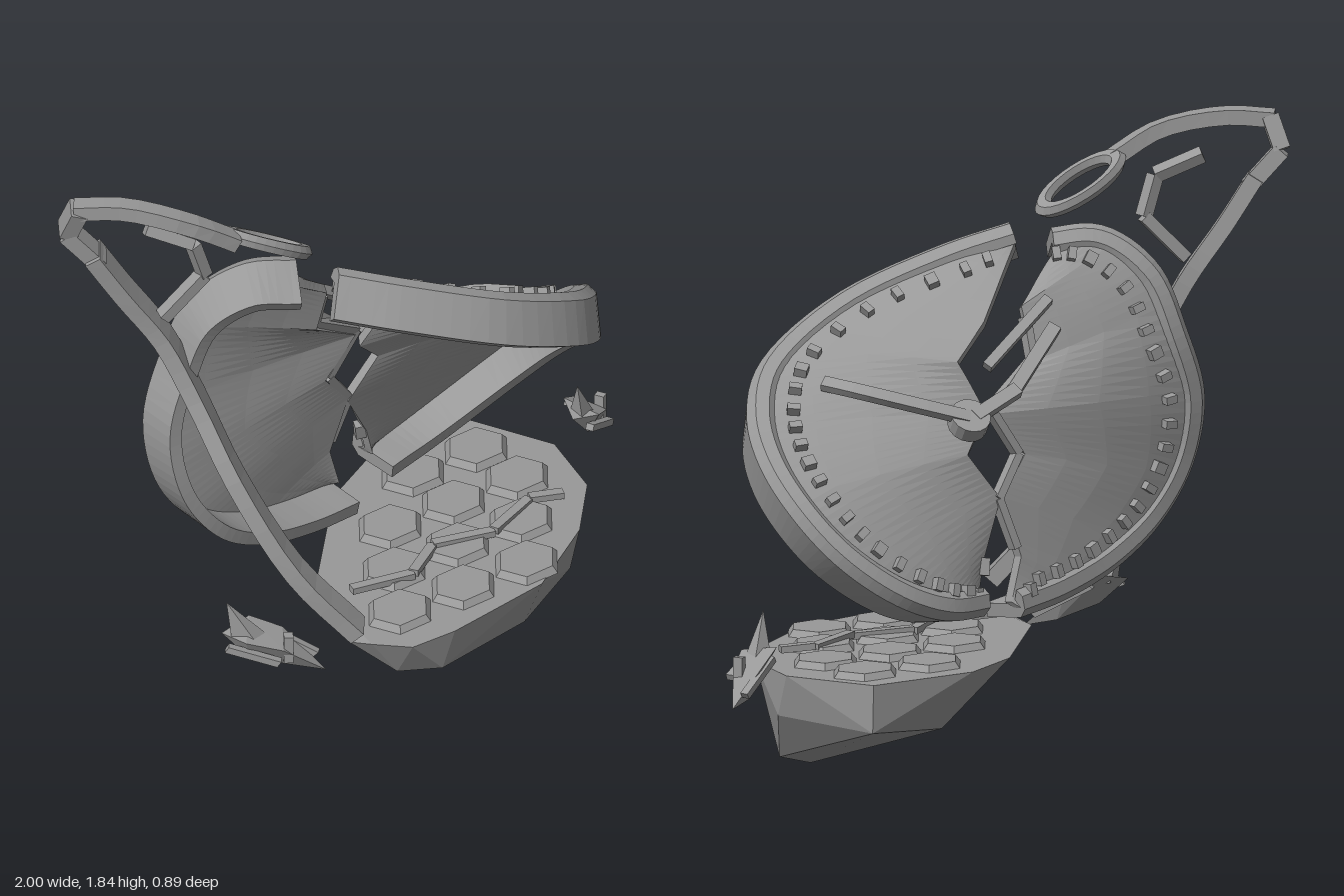
import * as THREE from 'three';
import { ConvexGeometry } from 'three/addons/geometries/ConvexGeometry.js';

const V = (p) => new THREE.Vector3(...p);

// Capped solid through equal-sized closed cross-sections
function loft(rings) {
  const m = rings[0].length, pos = [];
  const tri = (...pts) => pts.forEach((p) => pos.push(p.x, p.y, p.z));
  for (let i = 0; i < rings.length - 1; i++) {
    const A = rings[i], B = rings[i + 1];
    for (let j = 0; j < m; j++) {
      const k = (j + 1) % m;
      tri(A[j], B[j], B[k]);
      tri(A[j], B[k], A[k]);
    }
  }
  const cap = (r, sign) => {
    const n = r.reduce((s, p, i) => s.add(p.clone().cross(r[(i + 1) % m])), new THREE.Vector3());
    const ax = ['x', 'y', 'z'].sort((p, q) => Math.abs(n[q]) - Math.abs(n[p]));
    const flat = r.map((p) => new THREE.Vector2(p[ax[1]], p[ax[2]]));
    for (const [i, j, k] of THREE.ShapeUtils.triangulateShape(flat, [])) {
      const side = r[j].clone().sub(r[i]).cross(r[k].clone().sub(r[i])).dot(n) * sign;
      if (side > 0) tri(r[i], r[j], r[k]); else tri(r[i], r[k], r[j]);
    }
  };
  cap(rings[0], 1);
  cap(rings[rings.length - 1], -1);
  // Turn the solid outward if its signed volume is negative
  let vol = 0;
  for (let i = 0; i < pos.length; i += 9) {
    vol += V(pos.slice(i, i + 3)).dot(V(pos.slice(i + 3, i + 6)).cross(V(pos.slice(i + 6, i + 9))));
  }
  if (vol < 0) {
    for (let i = 0; i < pos.length; i += 9) {
      for (let c = 3; c < 6; c++) [pos[i + c], pos[i + c + 3]] = [pos[i + c + 3], pos[i + c]];
    }
  }
  const g = new THREE.BufferGeometry();
  g.setAttribute('position', new THREE.Float32BufferAttribute(pos, 3));
  g.computeVertexNormals();
  return g;
}

// Rectangular strip swept along a curve, its broad side turned to `facing`
function strip(curve, n, w, h, facing) {
  const rings = [];
  for (let i = 0; i <= n; i++) {
    const p = curve.getPoint(i / n), t = curve.getTangent(i / n);
    const s = t.clone().cross(facing).normalize(), f = s.clone().cross(t).normalize();
    rings.push([[-w, -h], [w, -h], [w, h], [-w, h]].map(([a, b]) =>
      p.clone().addScaledVector(s, a / 2).addScaledVector(f, b / 2)));
  }
  return loft(rings);
}
const smooth = (pts) => new THREE.CatmullRomCurve3(pts.map(V));

export function createModel() {
  const model = new THREE.Group();
  const grey = new THREE.MeshStandardMaterial({ color: 0x999999, side: THREE.DoubleSide, flatShading: true });
  grey.name = 'stone grey';
  const add = (name, geo, parent = model) => {
    const mesh = new THREE.Mesh(geo, grey);
    mesh.name = name;
    parent.add(mesh);
    return mesh;
  };
  // Straight bar from a to b
  const bar = (name, a, b, w, h, facing, parent) =>
    add(name, strip(new THREE.LineCurve3(V(a), V(b)), 1, w, h, facing), parent);

  // Bent clock halves: a dial ruled from the jagged break to the raised end of the rim
  function clockHalf(name, rimPts, breakPts, hub, flip, low, high, ticks) {
    const half = new THREE.Group();
    half.name = name;
    model.add(half);
    const rim = smooth(rimPts), jag = breakPts.map(V), segs = jag.length - 1;
    const frame = (t) => {
      const p = rim.getPoint(t), tan = rim.getTangent(t);
      const n = tan.clone().cross(V(hub).sub(p)).normalize().multiplyScalar(flip);
      const out = n.clone().cross(tan).normalize();
      if (out.dot(V(hub).sub(p)) > 0) out.negate();
      const i = Math.min(Math.floor(t * segs + 1e-6), segs - 1);
      const c = jag[i].clone().lerp(jag[i + 1], t * segs - i);
      const at = (u, off) => c.clone().lerp(p, u)
        .addScaledVector(n, off + 0.45 * high * u + 0.015 * Math.sin(Math.PI * u) * Math.sin(Math.PI * t));
      return { p, tan, n, out, at };
    };
    const N = segs * 8, dial = [], band = [];
    const us = [0, 0.25, 0.5, 0.75, 1];
    const section = [[0.03, -low], [0.03, 0.7 * high], [0.005, high], [-0.035, high],
      [-0.055, 0.75 * high], [-0.012, 0.5 * high], [-0.012, -low]];
    for (let i = 0; i <= N; i++) {
      const f = frame(i / N);
      dial.push([...us.map((u) => f.at(u, 0.03)), ...us.slice().reverse().map((u) => f.at(u, 0))]);
      band.push(section.map(([o, k]) => f.p.clone().addScaledVector(f.out, o).addScaledVector(f.n, k)));
    }
    add('dial', loft(dial), half);
    add('rim', loft(band), half);
    // Minute marks
    for (let i = 0; i < ticks; i++) {
      const f = frame(0.06 + 0.88 * i / (ticks - 1));
      const big = i % 5 === 2 ? 1.4 : 1;
      const mark = add('minuteMark', new THREE.BoxGeometry(0.024 * big, 0.038, 0.034), half);
      const inward = f.out.clone().negate();
      mark.quaternion.setFromRotationMatrix(
        new THREE.Matrix4().makeBasis(f.tan, inward, f.tan.clone().cross(inward)));
      const c = f.at(1, 0), d = f.at(0, 0).sub(c);
      mark.position.copy(f.at(1 - Math.min(0.11 / d.length(), 0.6), 0.04));
    }
  }
  clockHalf('leftClockHalf',
    [[-0.29, 1.45, 0.16], [-0.1, 1.385, 0.25], [0.2, 1.265, 0.325], [0.5, 1.115, 0.26], [0.65, 1.0, 0.11], [0.7, 0.89, -0.03],
      [0.68, 0.77, -0.16], [0.6, 0.655, -0.245], [0.45, 0.545, -0.295], [0.3, 0.49, -0.295], [0.14, 0.48, -0.255]],
    [[-0.27, 1.44, 0.12], [-0.07, 1.25, -0.02], [0.06, 1.15, -0.07], [0, 1.0, -0.13], [0.1, 0.9, -0.18],
      [0, 0.77, -0.19], [0.1, 0.6, -0.24], [0.13, 0.5, -0.25]],
    [0.05, 1, -0.15], 1, 0.07, 0.09, 24);
  clockHalf('rightClockHalf',
    [[-0.34, 1.46, 0.045], [-0.47, 1.465, -0.015], [-0.58, 1.37, -0.09], [-0.64, 1.2, -0.13], [-0.705, 1.0, -0.125],
      [-0.68, 0.8, -0.1], [-0.57, 0.64, -0.095], [-0.4, 0.535, -0.125], [-0.2, 0.475, -0.17], [-0.02, 0.45, -0.21]],
    [[-0.35, 1.44, 0.03], [-0.17, 1.3, -0.05], [-0.18, 1.15, -0.09], [0, 1.03, -0.15], [-0.1, 0.9, -0.16],
      [0, 0.78, -0.19], [-0.05, 0.6, -0.21], [-0.01, 0.47, -0.22]],
    [-0.05, 1, -0.13], -1, 0.085, 0.08, 22);

  // Centre cap and hands
  const up = new THREE.Vector3(0.15, 0.75, -0.65).normalize();
  const cap = add('centreCap', new THREE.CylinderGeometry(0.06, 0.06, 0.05, 16));
  cap.quaternion.setFromUnitVectors(new THREE.Vector3(0, 1, 0), up);
  cap.position.set(0.095, 1.02, -0.19);
  add('longHand', strip(smooth([[0.1, 1.03, -0.2], [0.25, 1.075, -0.13], [0.37, 1.11, -0.05], [0.45, 1.13, 0.05]]),
    8, 0.04, 0.025, up));
  bar('shortHand', [0.08, 1.03, -0.2], [-0.08, 1.09, -0.18], 0.04, 0.03, up);
  bar('brokenHand', [-0.07, 1.08, -0.17], [-0.25, 1.25, -0.12], 0.04, 0.03, up);
  bar('brokenHand', [0, 1.16, -0.14], [-0.24, 1.33, -0.1], 0.03, 0.03, up);
  bar('brokenHand', [0.09, 0.62, -0.26], [0.1, 0.57, -0.27], 0.035, 0.03, up);
  // Raised edge along the break
  const edge = [[-0.17, 1.28, -0.08], [-0.17, 1.16, -0.12], [0.01, 1.04, -0.17], [-0.08, 0.9, -0.18], [0.01, 0.78, -0.21], [-0.04, 0.63, -0.23]];
  for (let i = 0; i < edge.length - 1; i++) {
    bar('breakEdge', edge[i], edge[i + 1], 0.025, 0.035, new THREE.Vector3(0, 0.2, -1));
  }

  // Chain ribbon, hook and ring above the clock
  const face = new THREE.Vector3(0.75, 0.35, 0.55);
  add('ribbon', strip(smooth([[-0.9, 1.64, -0.2], [-0.82, 1.5, -0.16], [-0.72, 1.33, -0.1], [-0.655, 1.13, -0.02],
    [-0.605, 0.9, 0.11], [-0.49, 0.61, 0.25], [-0.34, 0.4, 0.36]]), 24, 0.095, 0.05, face));
  const links = [[-0.88, 1.61, -0.19], [-0.965, 1.72, -0.24], [-0.95, 1.815, -0.2]];
  for (let i = 0; i < 2; i++) bar('ribbonBend', links[i], links[i + 1], 0.07, 0.05, face);
  add('ribbonTop', strip(smooth([[-0.96, 1.81, -0.21], [-0.84, 1.815, -0.12], [-0.69, 1.77, 0.0], [-0.56, 1.69, 0.05]]),
    10, 0.06, 0.045, new THREE.Vector3(0.2, 1, 0.1)));
  const hook = [[-0.76, 1.71, -0.13], [-0.64, 1.65, -0.06], [-0.6, 1.53, -0.06], [-0.72, 1.4, -0.1]];
  for (let i = 0; i < 3; i++) bar('hook', hook[i], hook[i + 1], 0.035, 0.04, new THREE.Vector3(0, 0.2, 1));
  const ring = add('ring', new THREE.TorusGeometry(1, 0.22, 6, 28));
  ring.matrixAutoUpdate = false;
  ring.matrix.makeBasis(V([0.115, -0.065, 0.01]), V([0.01, 0.01, 0.06]), V([0.05, 0.09, -0.02]))
    .setPosition(-0.44, 1.63, 0.035);

  // Floating faceted rock: flat top, folded sides, off-centre tip
  add('rock', new ConvexGeometry([
    [-0.33, 0.32, 0.3], [-0.29, 0.33, 0.36], [-0.2, 0.33, 0.44], [-0.05, 0.33, 0.44], [0.3, 0.33, 0.38], [0.55, 0.33, 0.21],
    [0.7, 0.33, 0.03], [0.74, 0.33, -0.2], [0.6, 0.33, -0.455], [0.25, 0.33, -0.45], [0.05, 0.33, -0.34], [-0.26, 0.33, 0.02],
    [-0.2, 0.2, 0.36], [-0.08, 0.2, 0.42], [0.28, 0.17, 0.32], [0.53, 0.19, 0.19], [0.5, 0, 0.04], [0.66, 0.05, -0.04],
    [0.73, 0.2, -0.14], [0.6, 0.185, -0.45], [0.3, 0.15, -0.36], [-0.12, 0.19, 0.1]].map(V)));
  // Paving on the rock
  for (let row = 0; row < 4; row++) {
    for (let col = 0; col < 4; col++) {
      const z = 0.27 - row * 0.19, x = -0.13 + col * 0.225 + (row % 2) * 0.11 + (row > 2 ? 0.1 : 0);
      if (x > 0.58 - Math.max(0, z) * 0.9 || x < -0.1 - z * 0.7) continue;
      const tile = add('pavingStone', new THREE.CylinderGeometry(0.09, 0.108, 0.022, 6));
      tile.position.set(x, 0.339, z);
      tile.rotation.y = Math.PI / 6;
      tile.scale.set(1.1, 1, 0.95);
    }
  }
  const fault = [[-0.2, 0.12], [0, 0.15], [0.13, 0.06], [0.32, 0.1], [0.5, 0.02], [0.6, 0.05]];
  for (let i = 0; i < 5; i++) {
    const [a, b] = [fault[i], fault[i + 1]];
    bar('crackRidge', [a[0], 0.355, a[1]], [b[0], 0.35, b[1]], 0.03, 0.02, new THREE.Vector3(0, 1, 0));
  }

  // Floating shards either side of the rock
  for (const [x, y, z, turn, long] of [[0.88, 0.365, -0.23, 0.55, 1.1], [-0.56, 0.35, 0.22, -0.55, 1.4]]) {
    const shard = new THREE.Group();
    shard.name = 'shard';
    add('shardBody', new ConvexGeometry([
      [-0.1, 0.05, 0], [-0.05, 0.05, 0.06], [0.03, 0.01, 0.045], [0.12, -0.09, 0], [0.03, 0.03, -0.055],
      [-0.04, 0.07, -0.06], [-0.04, -0.03, 0.02], [0.05, -0.07, -0.02]].map(V)), shard);
    add('shardSpike', new ConvexGeometry([
      [-0.09, 0.165, 0.01], [-0.08, 0.05, 0.02], [-0.03, 0.04, 0.035], [0, 0.03, -0.01], [-0.06, 0.04, -0.03]].map(V)), shard);
    const slope = new THREE.Vector3(0.4, 1, 0);
    bar('splinter', [-0.09, 0.03, 0.05], [0.02, -0.02, 0.06], 0.025, 0.02, slope, shard);
    bar('splinter', [-0.02, 0.04, -0.055], [0.1, -0.05, -0.03], 0.025, 0.02, slope, shard);
    bar('splinter', [0.04, 0.05, 0.02], [0.04, -0.04, 0.02], 0.03, 0.02, new THREE.Vector3(1, 0, 0), shard);
    shard.position.set(x, y, z);
    shard.rotation.y = turn;
    shard.scale.x = long;
    model.add(shard);
  }
  return model;
}
